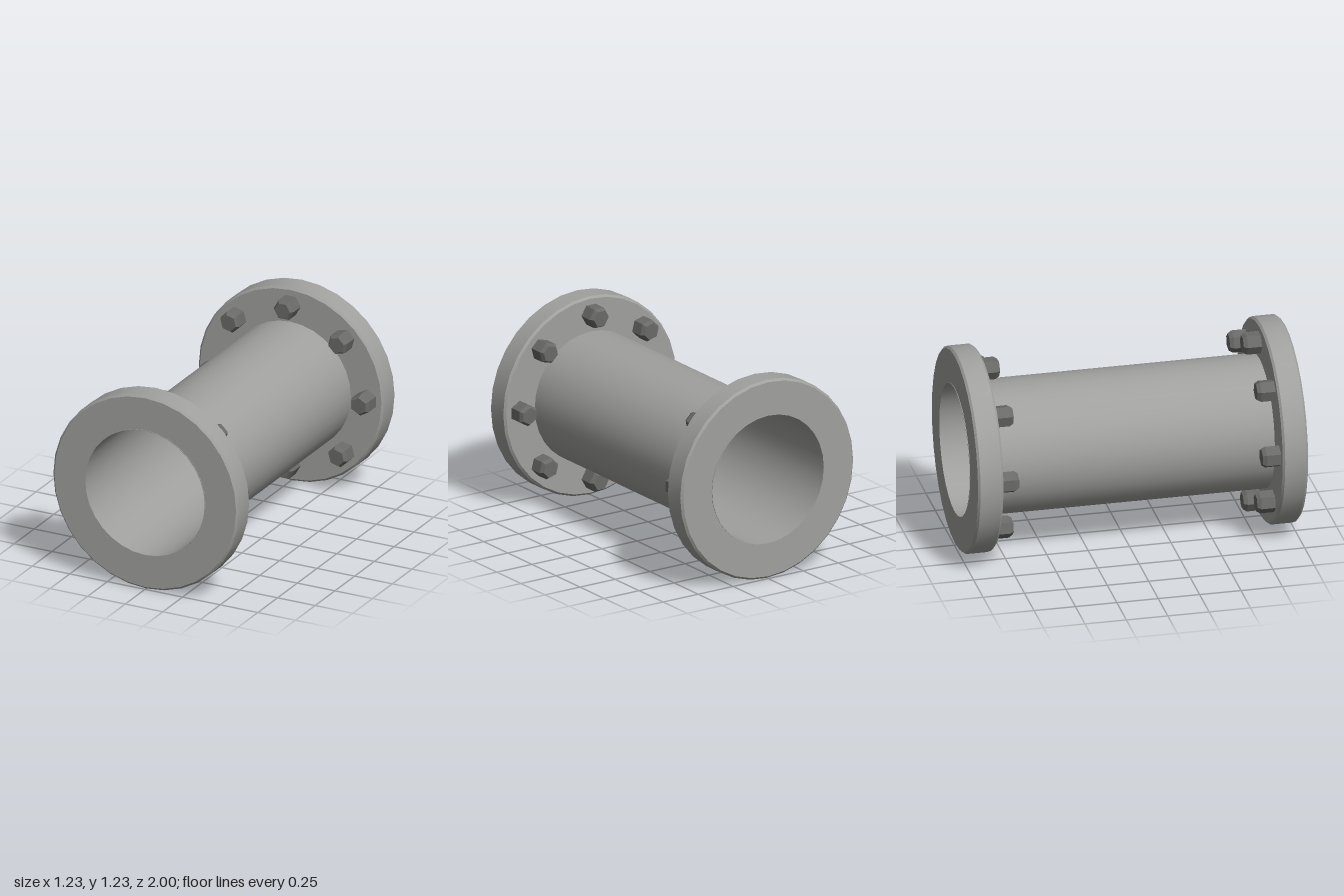
import * as THREE from 'three';
import { toCreasedNormals } from 'three/addons/utils/BufferGeometryUtils.js';

const CENTRE_Y = 0.617;

// Revolve [radius, height] points, keeping edges sharper than the crease angle
function revolve(points, segments, crease) {
  const profile = points.map(([r, h]) => new THREE.Vector2(r, h));
  return toCreasedNormals(new THREE.LatheGeometry(profile, segments), crease);
}

export function createModel() {
  const steel = new THREE.MeshStandardMaterial({ color: 0xa0a09e });
  steel.name = 'steel';
  const darkSteel = new THREE.MeshStandardMaterial({ color: 0x6a6a68 });
  darkSteel.name = 'dark steel';

  const model = new THREE.Group();
  model.name = 'flangedPipe';

  // Thin-walled open pipe along z
  const pipeGeometry = revolve(
    [[0.397, -1], [0.401, -1], [0.401, 1], [0.397, 1], [0.397, -1]], 32, 0.6);
  pipeGeometry.rotateX(Math.PI / 2);
  const pipe = new THREE.Mesh(pipeGeometry, steel);
  pipe.name = 'pipe';
  pipe.position.y = CENTRE_Y;
  model.add(pipe);

  // Bevelled flange ring
  const flangeGeometry = revolve(
    [[0.4, 0.843], [0.604, 0.843], [0.617, 0.856], [0.617, 0.984], [0.604, 0.997], [0.4, 0.997]], 32, 0.6);
  flangeGeometry.rotateX(Math.PI / 2);

  // Chamfered hexagonal bolt head pointing towards the middle of the pipe
  const boltGeometry = revolve(
    [[0.067, 0], [0.067, 0.085], [0.052, 0.108], [0, 0.108]], 6, 0.3);
  boltGeometry.rotateX(-Math.PI / 2);

  // Identical ends, the back one turned half a circle
  for (const [name, turn] of [['frontEnd', 0], ['backEnd', Math.PI]]) {
    const end = new THREE.Group();
    end.name = name;
    end.position.y = CENTRE_Y;
    end.rotation.y = turn;

    const flange = new THREE.Mesh(flangeGeometry, steel);
    flange.name = 'flange';
    end.add(flange);

    for (let i = 0; i < 8; i++) {
      const angle = (i * Math.PI) / 4;
      const bolt = new THREE.Mesh(boltGeometry, darkSteel);
      bolt.name = 'bolt';
      bolt.position.set(0.508 * Math.cos(angle), 0.508 * Math.sin(angle), 0.844);
      bolt.rotation.z = angle;
      end.add(bolt);
    }
    model.add(end);
  }
  return model;
}
